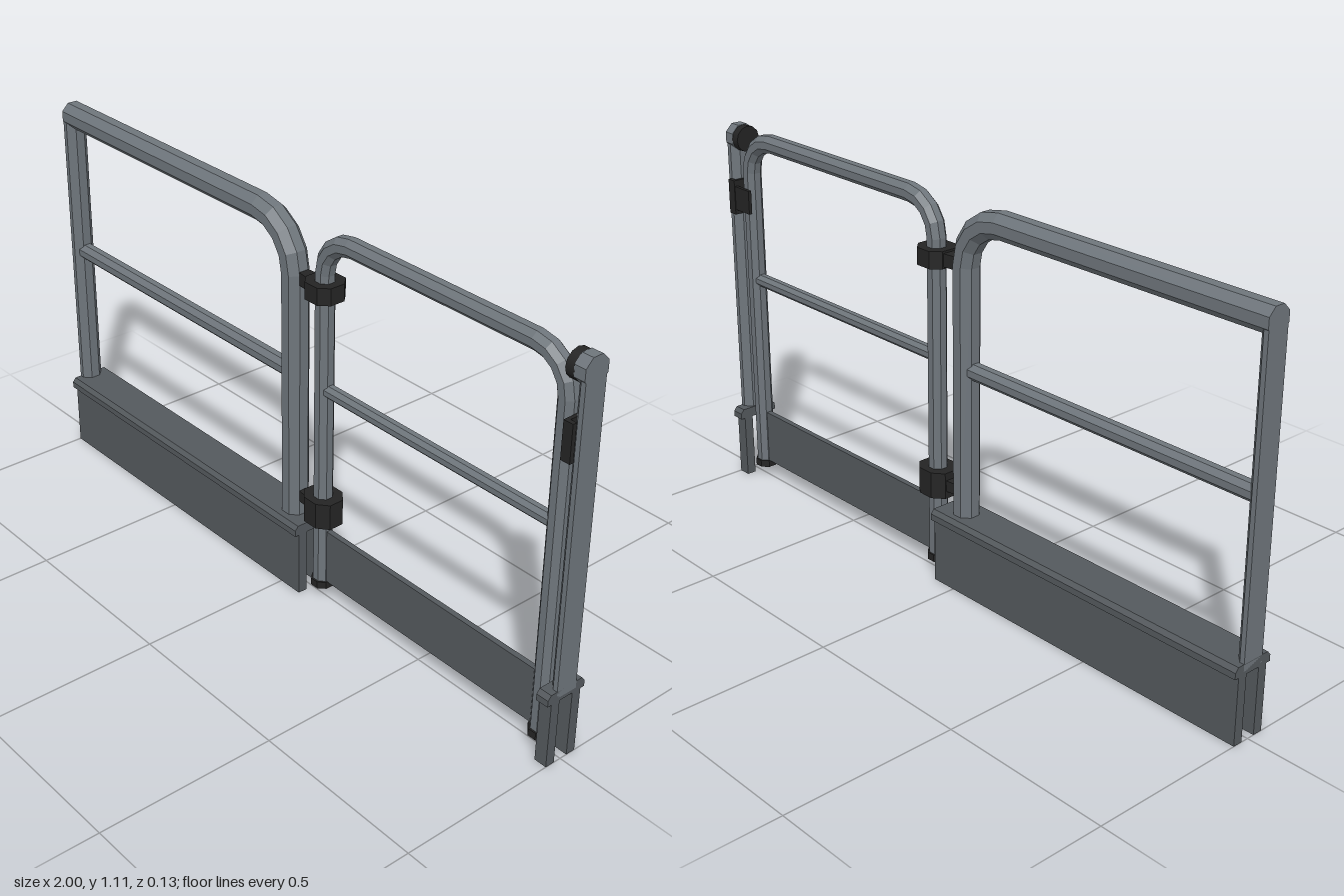
import * as THREE from 'three';
import { mergeVertices } from 'three/addons/utils/BufferGeometryUtils.js';

const steel = new THREE.MeshStandardMaterial({ color: 0x6e757b });
const boardGrey = new THREE.MeshStandardMaterial({ color: 0x54595d });
const black = new THREE.MeshStandardMaterial({ color: 0x242424 });

const SIDES = 8;

// Flat-faced octagonal tube swept along a path in the xy plane, mitred and capped
function tubeGeometry(path, apothem) {
  const r = apothem / Math.cos(Math.PI / SIDES);
  const pos = [], idx = [];
  const last = path.length - 1;
  path.forEach((p, i) => {
    const a = path[Math.max(i - 1, 0)], b = path[Math.min(i + 1, last)];
    const tIn = (i ? p.clone().sub(a) : b.clone().sub(p)).normalize();
    const tOut = (i < last ? b.clone().sub(p) : p.clone().sub(a)).normalize();
    const t = tIn.clone().add(tOut).normalize();
    const k = r / t.dot(tIn);
    for (let j = 0; j < SIDES; j++) {
      const ang = ((j + 0.5) / SIDES) * Math.PI * 2;
      const c = Math.cos(ang) * k;
      pos.push(p.x - t.y * c, p.y + t.x * c, Math.sin(ang) * r);
    }
  });
  for (let i = 0; i < last; i++) {
    for (let j = 0; j < SIDES; j++) {
      const a = i * SIDES + j, b = i * SIDES + (j + 1) % SIDES;
      idx.push(a, b, b + SIDES, a, b + SIDES, a + SIDES);
    }
  }
  const e = last * SIDES;
  for (let j = 1; j < SIDES - 1; j++) idx.push(0, j + 1, j, e, e + j, e + j + 1);
  const g = new THREE.BufferGeometry();
  g.setAttribute('position', new THREE.Float32BufferAttribute(pos, 3));
  g.setIndex(idx);
  const flat = g.toNonIndexed();
  flat.computeVertexNormals();
  return mergeVertices(flat);
}

const v = (x, y) => new THREE.Vector2(x, y);

// Points of a quarter bend about a centre
function bend(cx, cy, r, from, to, steps = 4) {
  return Array.from({ length: steps + 1 }, (_, i) => {
    const a = (from + (to - from) * i / steps) * Math.PI / 180;
    return v(cx + r * Math.cos(a), cy + r * Math.sin(a));
  });
}

const extrude = (pts, depth) => new THREE.ExtrudeGeometry(
  new THREE.Shape(pts.map(([x, y]) => v(x, y))), { depth, bevelEnabled: false });

// Upright prism from an outline in x and z
const prismY = (pts, y0, y1) => extrude(pts, y1 - y0).rotateX(-Math.PI / 2).translate(0, y0, 0);
// Long prism from an outline in z and y
const prismX = (pts, x0, x1) => extrude(pts, x1 - x0).rotateY(Math.PI / 2).translate(x0, 0, 0);
// Box from its limits
const block = (x0, x1, y0, y1, z0, z1) => new THREE.BoxGeometry(x1 - x0, y1 - y0, z1 - z0)
  .translate((x0 + x1) / 2, (y0 + y1) / 2, (z0 + z1) / 2);

export function createModel() {
  const model = new THREE.Group();
  model.name = 'guardRailWithGate';
  const group = (name) => {
    const g = new THREE.Group();
    g.name = name;
    model.add(g);
    return g;
  };
  const add = (parent, name, geometry, material) => {
    const m = new THREE.Mesh(geometry, material);
    m.name = name;
    parent.add(m);
  };

  // Half octagon post cut off flat at x = s
  const halfPost = (s) => {
    const a = 0.033, b = a * Math.tan(Math.PI / 8);
    return prismY([[s, a], [s * (1 - b), a], [s * (1 - a), b],
      [s * (1 - a), -b], [s * (1 - b), -a], [s, -a]], 0.2, 1.06);
  };

  // Inverted channel: two kick plates under a chamfered cap
  const half = [[0.022, 0.19], [0.022, 0], [0.05, 0], [0.05, 0.19], [0.063, 0.19], [0.063, 0.208], [0.053, 0.22]];
  const channel = [...half, ...half.map(([z, y]) => [-z, y]).reverse()];

  // Fixed railing
  const fixed = group('fixedRailing');
  add(fixed, 'topRailAndPost', tubeGeometry(
    [v(-1, 1.068), ...bend(-0.135, 0.933, 0.135, 90, 0), v(0, 0.2)], 0.035), steel);
  add(fixed, 'endPost', halfPost(-1), steel);
  add(fixed, 'midRail', tubeGeometry([v(-0.98, 0.645), v(-0.02, 0.645)], 0.023), steel);
  add(fixed, 'toeBoard', prismX(channel, -1, 0.075), boardGrey);

  // Receiving post on the far side of the gate
  const receiver = group('receivingPost');
  add(receiver, 'post', halfPost(1), steel);
  add(receiver, 'railStub', tubeGeometry([v(0.967, 1.068), v(1, 1.068)], 0.037), steel);
  add(receiver, 'toeBoardEnd', prismX(channel, 0.963, 1), boardGrey);

  // Swinging gate
  const gate = group('gate');
  const x0 = 0.116, x1 = 0.93, top = 1.075, r = 0.1;
  add(gate, 'gateFrame', tubeGeometry([v(x0, 0.045),
    ...bend(x0 + r, top - r, r, 180, 90), ...bend(x1 - r, top - r, r, 90, 0), v(x1, 0.045)], 0.025), steel);
  add(gate, 'gateMidRail', tubeGeometry([v(x0, 0.645), v(x1, 0.645)], 0.018), steel);
  add(gate, 'gateToeBoard', block(x0 + 0.015, x1 - 0.015, 0.055, 0.217, -0.008, 0.008), boardGrey);
  for (const x of [x0, x1]) {
    add(gate, 'footCap', tubeGeometry([v(x, 0.035), v(x, 0.056)], 0.03), black);
  }

  // Hinge clamps with arms reaching the fixed post
  const clamp = (w) => [[-w, 0.022], [-0.024, 0.047], [0.024, 0.047], [w, 0.022],
    [w, -0.022], [0.024, -0.047], [-0.024, -0.047], [-w, -0.022]].map(([x, z]) => [x + x0, z]);
  const arm = [[0.025, 0.014], [0.09, 0.022], [0.09, -0.022], [0.025, -0.014]];
  const hinges = group('hinges');
  for (const [y, h, w, armH] of [[0.929, 0.024, 0.048, 0.018], [0.282, 0.038, 0.054, 0.016]]) {
    add(hinges, 'hingeClamp', prismY(clamp(w), y - h, y + h), black);
    add(hinges, 'hingeArm', prismY(arm, y - armH, y + armH), black);
  }

  // Latch bracket hugging the receiving post, with a stop plate behind the gate
  const latch = group('latch');
  for (const s of [-1, 1]) {
    add(latch, 'latchCheek', block(0.958, 0.986, 0.845, 0.947, s * 0.04 - 0.006, s * 0.04 + 0.006), black);
  }
  add(latch, 'latchBridge', block(0.958, 0.968, 0.845, 0.947, -0.036, 0.036), black);
  add(latch, 'stopPlate', block(0.892, 0.96, 0.86, 0.93, -0.044, -0.034), black);

  // Round bumper between the gate and the receiving rail
  add(latch, 'bumper', new THREE.CylinderGeometry(0.038, 0.038, 0.026, 12)
    .rotateZ(Math.PI / 2).translate(0.956, 1.067, 0), black);

  return model;
}
